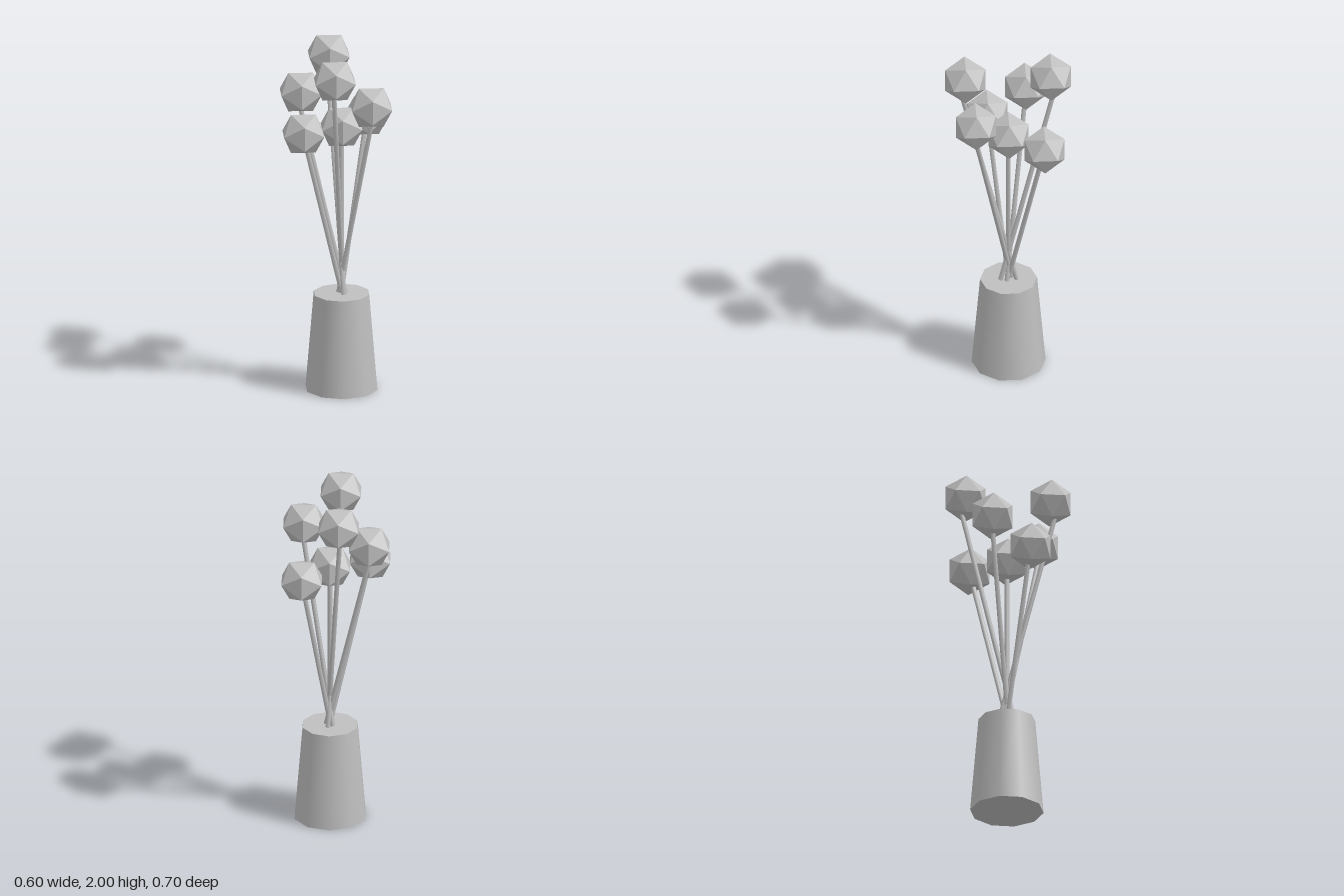
import * as THREE from 'three';

export function createModel() {
  const group = new THREE.Group();
  const grey = new THREE.MeshStandardMaterial({ color: 0xbfbfbf });
  grey.name = 'plain grey';
  // Faceted twin of the same grey for the flower heads
  const facetedGrey = new THREE.MeshStandardMaterial({ color: 0xbfbfbf, flatShading: true });
  facetedGrey.name = 'faceted grey';

  const centreX = 0.034, potHeight = 0.56, ringRadius = 0.246, lean = 0.25;

  const add = (name, geometry, material, x, y, z) => {
    const mesh = new THREE.Mesh(geometry, material);
    mesh.name = name;
    mesh.position.set(x, y, z);
    group.add(mesh);
    return mesh;
  };

  // Tapered ten-sided vase, closed at the top and bottom
  add('vase', new THREE.CylinderGeometry(0.16, 0.207, potHeight, 10), grey, centreX, potHeight / 2, 0);

  // One upright stem in the middle and six leaning out, in three repeating heights
  const headGeometry = new THREE.IcosahedronGeometry(0.1322, 0);
  for (let i = 0; i < 7; i++) {
    const angle = (i / 7) * Math.PI * 2;
    const r = i === 0 ? 0 : ringRadius;
    const tilt = i === 0 ? 0 : lean;
    const dx = Math.cos(angle), dz = Math.sin(angle);
    const headY = 1.538 + (i % 3) * 0.175;

    const stem = add(
      'stem' + (i + 1),
      new THREE.CylinderGeometry(0.014, 0.014, headY - potHeight + 0.04, 5),
      grey, centreX + dx * r / 2, (headY + potHeight) / 2, dz * r / 2
    );
    stem.rotation.set(dz * tilt, 0, -dx * tilt);

    add('flowerHead' + (i + 1), headGeometry, facetedGrey, centreX + dx * r, headY, dz * r);
  }
  return group;
}
